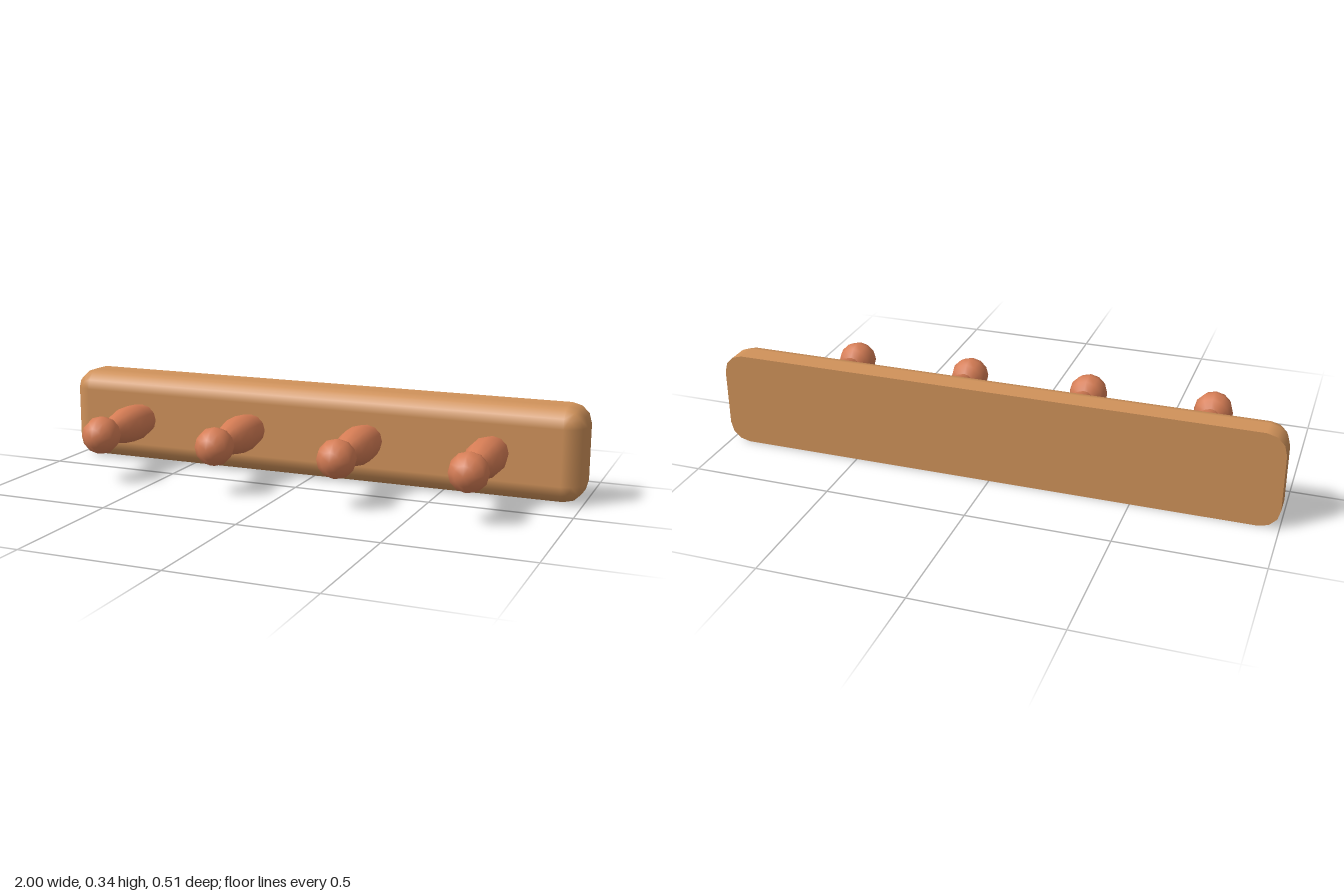
import * as THREE from 'three';

const W = 1, H = 0.17, R = 0.07;          // half width, half height, edge radius
const BACK = -0.257, FRONT = -0.115;

// Board with rounded corners, a rounded front edge and a sharp flat back.
// Loops run from back to front; the last loop shrinks to the front rectangle.
function boardSides() {
  const pos = [], nor = [], idx = [], steps = 3;
  const count = 4 * (steps + 1);
  const loops = [[BACK, 0]];
  for (let k = 0; k <= steps; k++) {
    const t = (k / steps) * Math.PI / 2;
    loops.push([FRONT - R + R * Math.sin(t), t]);
  }
  for (const [z, t] of loops) {
    for (let q = 0; q < 4; q++) {
      const sx = q === 0 || q === 3 ? 1 : -1, sy = q < 2 ? 1 : -1;
      for (let s = 0; s <= steps; s++) {
        const a = (q + s / steps) * Math.PI / 2;
        const nx = Math.cos(a) * Math.cos(t), ny = Math.sin(a) * Math.cos(t);
        pos.push(sx * (W - R) + R * nx, sy * (H - R) + R * ny, z);
        nor.push(nx, ny, Math.sin(t));
      }
    }
  }
  for (let l = 0; l < loops.length - 1; l++) {
    for (let i = 0; i < count; i++) {
      const a = l * count + i, b = l * count + (i + 1) % count;
      idx.push(a, b, b + count, a, b + count, a + count);
    }
  }
  const g = new THREE.BufferGeometry();
  g.setAttribute('position', new THREE.Float32BufferAttribute(pos, 3));
  g.setAttribute('normal', new THREE.Float32BufferAttribute(nor, 3));
  g.setIndex(idx);
  return g;
}

function boardBack() {
  const pts = [];
  for (let q = 0; q < 4; q++) {
    const sx = q === 0 || q === 3 ? 1 : -1, sy = q < 2 ? 1 : -1;
    for (let s = 0; s <= 3; s++) {
      const a = (q + s / 3) * Math.PI / 2;
      pts.push(new THREE.Vector2(sx * (W - R) + R * Math.cos(a), sy * (H - R) + R * Math.sin(a)));
    }
  }
  return new THREE.ShapeGeometry(new THREE.Shape(pts)).rotateY(Math.PI).translate(0, 0, BACK);
}

// Turned part along z from [radius, z] pairs, back to front
function turned(profile) {
  return new THREE.LatheGeometry(profile.map(([r, z]) => new THREE.Vector2(r, z)), 12).rotateX(Math.PI / 2);
}

export function createModel() {
  const boardWood = new THREE.MeshStandardMaterial({ color: 0xd0925a });
  boardWood.name = 'boardWood';
  const pegWood = new THREE.MeshStandardMaterial({ color: 0xd67d55 });
  pegWood.name = 'pegWood';

  const model = new THREE.Group();
  model.name = 'pegRack';
  const add = (parent, name, geometry, material) => {
    const mesh = new THREE.Mesh(geometry, material);
    mesh.name = name;
    parent.add(mesh);
    return mesh;
  };

  // Wall board
  const board = new THREE.Group();
  board.name = 'board';
  board.position.y = H;
  model.add(board);
  add(board, 'boardSides', boardSides(), boardWood);
  add(board, 'boardFront', new THREE.PlaneGeometry(2 * (W - R), 2 * (H - R)).translate(0, 0, FRONT), boardWood);
  add(board, 'boardBack', boardBack(), boardWood);

  // Four turned pegs with ball ends
  const shaft = turned([[0.05, -0.135], [0.057, -0.115], [0.068, -0.055], [0.067, 0.012], [0.053, 0.078], [0.035, 0.128]]);
  const ball = new THREE.SphereGeometry(0.07, 12, 6).rotateX(Math.PI / 2);
  for (const x of [-0.69, -0.23, 0.23, 0.69]) {
    const peg = new THREE.Group();
    peg.name = 'peg';
    peg.position.set(x, 0.171, 0);
    add(peg, 'pegShaft', shaft, pegWood);
    add(peg, 'pegBall', ball, pegWood).position.z = 0.187;
    model.add(peg);
  }
  return model;
}
